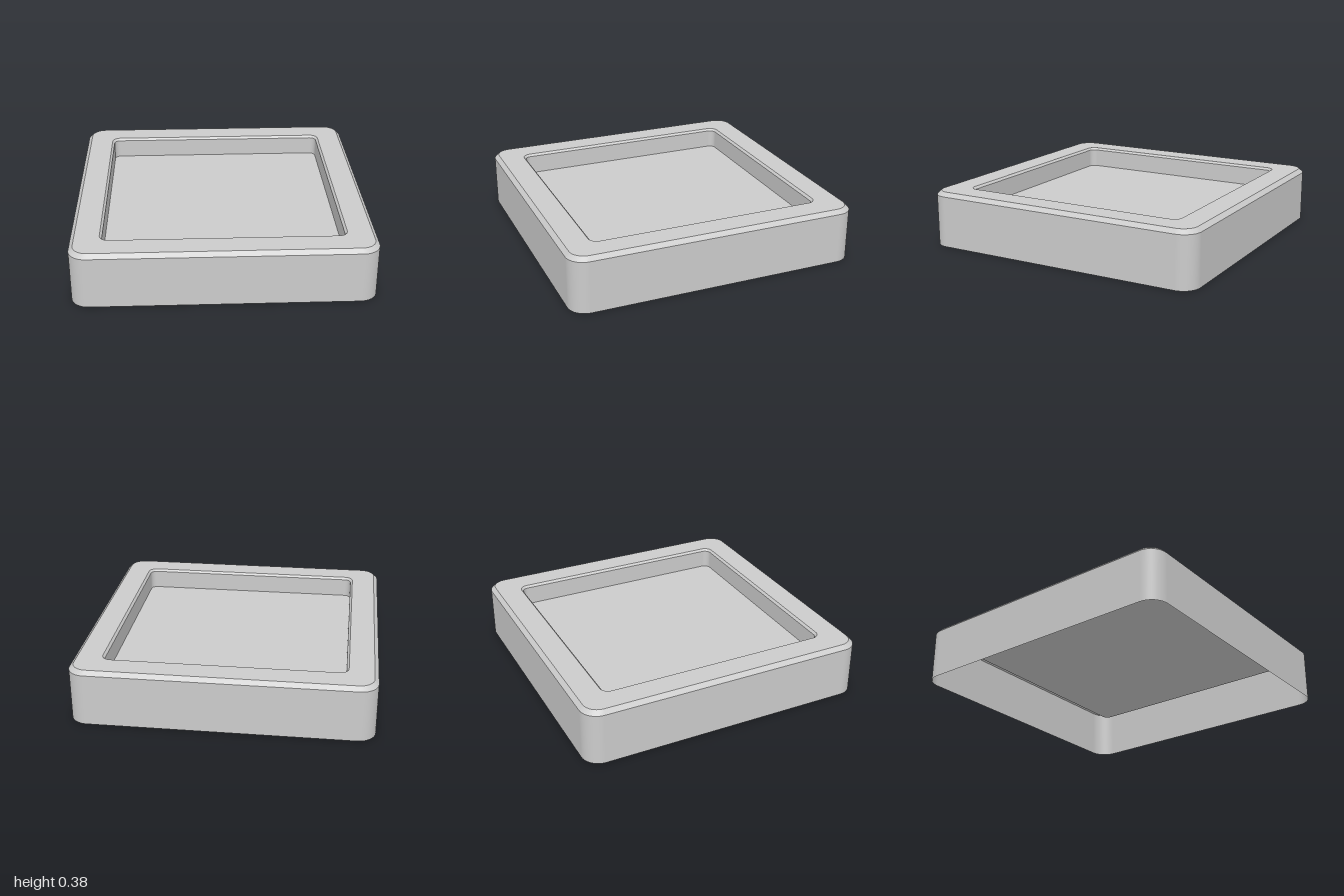
import * as THREE from 'three';

const material = new THREE.MeshStandardMaterial({ color: 0xcccccc, side: THREE.DoubleSide });
const CORNER_STEPS = 10;

// Rounded square outline, counter-clockwise seen from above
function outline({ half, radius }) {
  const points = [];
  for (let corner = 0; corner < 4; corner++) {
    const mid = (corner + 0.5) * Math.PI / 2;
    const cx = Math.sign(Math.cos(mid)) * (half - radius);
    const cy = Math.sign(Math.sin(mid)) * (half - radius);
    for (let i = 0; i <= CORNER_STEPS; i++) {
      const a = (corner + i / CORNER_STEPS) * Math.PI / 2;
      points.push(new THREE.Vector2(cx + radius * Math.cos(a), cy + radius * Math.sin(a)));
    }
  }
  return points;
}

// Strip of quads joining two rounded-square rings
function band(name, from, to) {
  const positions = [], indices = [];
  for (const ring of [from, to]) {
    for (const p of outline(ring)) positions.push(p.x, ring.y, -p.y);
  }
  const n = positions.length / 6;
  for (let i = 0; i < n; i++) {
    const j = (i + 1) % n;
    indices.push(i, j, n + j, i, n + j, n + i);
  }
  const geometry = new THREE.BufferGeometry();
  geometry.setAttribute('position', new THREE.Float32BufferAttribute(positions, 3));
  geometry.setIndex(indices);
  geometry.computeVertexNormals();
  const mesh = new THREE.Mesh(geometry, material);
  mesh.name = name;
  return mesh;
}

export function createModel() {
  const group = new THREE.Group();
  group.name = 'squareTray';

  // Rings from the open foot, up the outside, over the rim and down into the recess
  const rings = [
    { half: 1, radius: 0.12, y: 0 },
    { half: 1, radius: 0.12, y: 0.355 },
    { half: 0.972, radius: 0.1, y: 0.383 },
    { half: 0.808, radius: 0.06, y: 0.383 },
    { half: 0.793, radius: 0.045, y: 0.367 },
    { half: 0.793, radius: 0.045, y: 0.235 },
  ];
  const names = ['outerWall', 'outerChamfer', 'topRim', 'innerChamfer', 'recessWall'];
  names.forEach((name, i) => group.add(band(name, rings[i], rings[i + 1])));

  // Recess floor
  const last = rings[rings.length - 1];
  const floorGeometry = new THREE.ShapeGeometry(new THREE.Shape(outline(last)));
  floorGeometry.rotateX(-Math.PI / 2).translate(0, last.y, 0);
  const floor = new THREE.Mesh(floorGeometry, material);
  floor.name = 'recessFloor';
  group.add(floor);

  return group;
}
